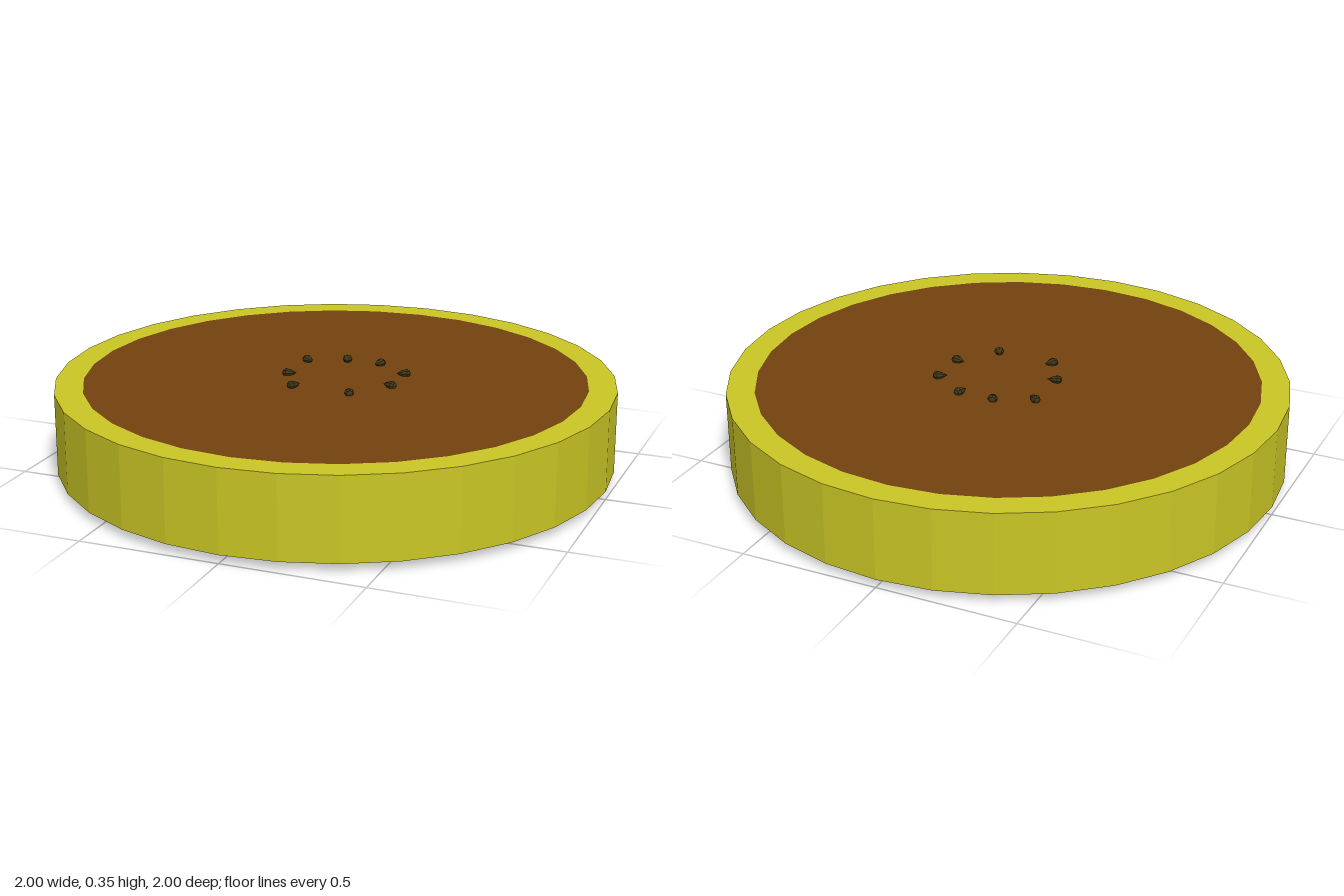
import * as THREE from 'three';

const SIDES = 32, BOTTOM = 0.03, TOP = 0.325;
const RIND_RADIUS = 1, FLESH_RADIUS = 0.9;

const material = (color) => new THREE.MeshStandardMaterial({ color, flatShading: true });
const lathe = (profile, sides) =>
  new THREE.LatheGeometry(profile.map(([r, y]) => new THREE.Vector2(r, y)), sides);

export function createModel() {
  const model = new THREE.Group();
  model.name = 'fruitSlice';

  // Rind: outer wall with flat rims above and below
  const rind = new THREE.Mesh(
    lathe([[FLESH_RADIUS, BOTTOM], [RIND_RADIUS, BOTTOM], [RIND_RADIUS, TOP], [FLESH_RADIUS, TOP]], SIDES),
    material(0xcac625));
  rind.name = 'rind';
  model.add(rind);

  // Flesh: flush disc filling the rind
  const flesh = new THREE.Mesh(
    new THREE.CylinderGeometry(FLESH_RADIUS, FLESH_RADIUS, TOP - BOTTOM, SIDES),
    material(0x73420e));
  flesh.name = 'flesh';
  flesh.position.y = (TOP + BOTTOM) / 2;
  model.add(flesh);

  // Seeds: teardrops on both faces, tips towards the middle of the ring
  const seedGeometry = lathe([[0, -0.024], [0.012, -0.02], [0.018, -0.009], [0.013, 0.008], [0, 0.028]], 8);
  seedGeometry.rotateX(Math.PI / 2);
  seedGeometry.scale(1, 0.85, 1);
  const seedMaterial = material(0x40371a);
  const ringCentre = { x: 0.025, z: -0.01 };
  const spots = [
    [-0.165, -0.14], [-0.032, -0.195], [0.095, -0.195], [0.22, -0.11],
    [0.22, 0.037], [0.115, 0.165], [-0.097, 0.16], [-0.168, 0.033],
  ];
  for (const [face, y] of [['top', TOP + 0.009], ['bottom', 0.016]]) {
    const seeds = new THREE.Group();
    seeds.name = `${face}Seeds`;
    for (const [x, z] of spots) {
      const seed = new THREE.Mesh(seedGeometry, seedMaterial);
      seed.name = 'seed';
      seed.position.set(x, y, z);
      seed.rotation.y = Math.atan2(ringCentre.x - x, ringCentre.z - z);
      seeds.add(seed);
    }
    model.add(seeds);
  }

  return model;
}
